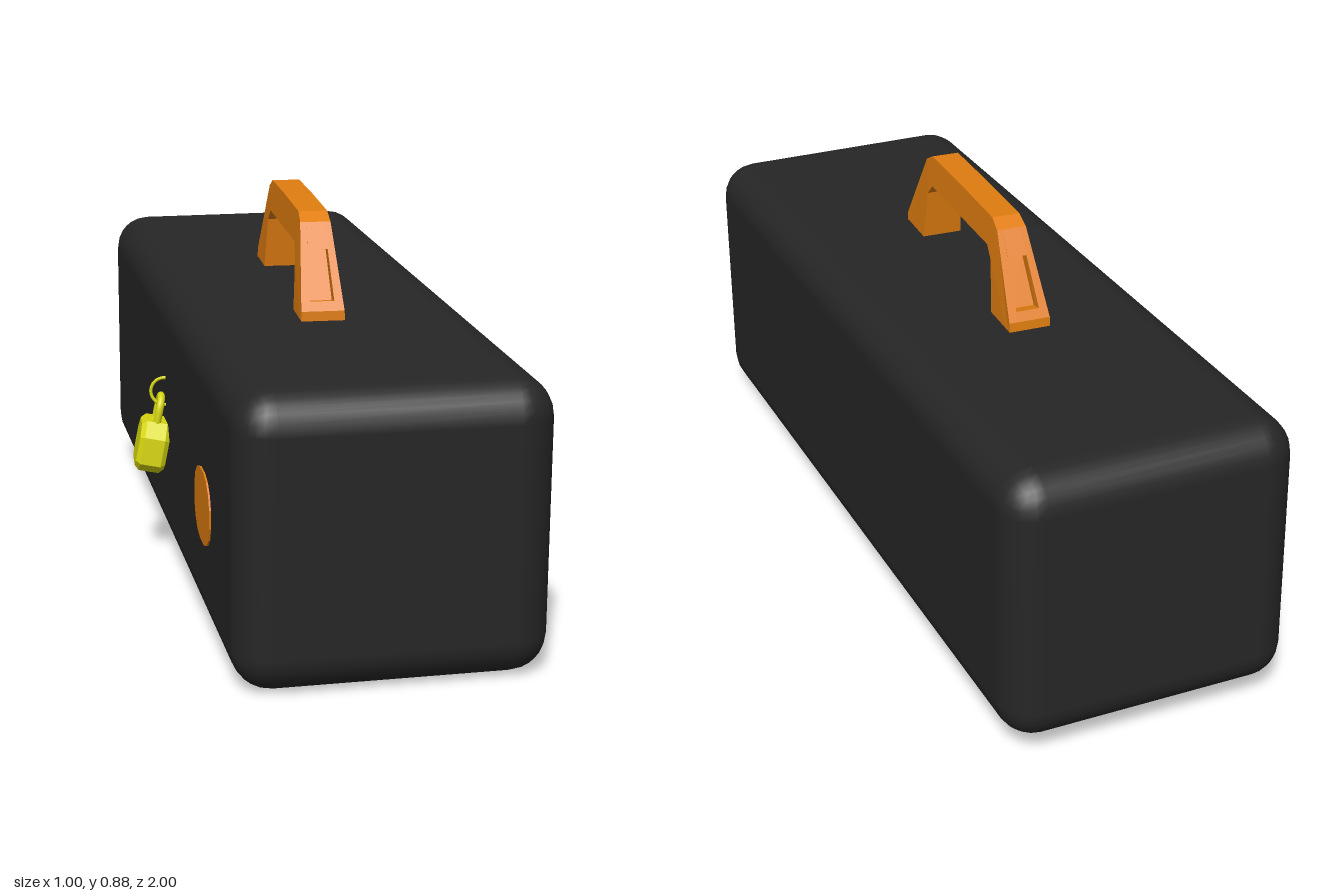
import * as THREE from 'three';
import { RoundedBoxGeometry } from 'three/addons/geometries/RoundedBoxGeometry.js';

const black = new THREE.MeshStandardMaterial({ color: 0x262626 });
const orange = new THREE.MeshStandardMaterial({ color: 0xe07d10, flatShading: true });
const yellow = new THREE.MeshStandardMaterial({ color: 0xd8d80f });
const YAW = 0.192, PITCH = 0.026;

function add(parent, name, geometry, material) {
  const mesh = new THREE.Mesh(geometry, material);
  mesh.name = name;
  parent.add(mesh);
  return mesh;
}

const polygon = (points) => new THREE.Shape(points.map(([x, y]) => new THREE.Vector2(x, y)));

// Mirrors half of an outline across its vertical axis
const mirrored = (half) => [...half, ...half.map(([x, y]) => [-x, y]).reverse()];

// Extrudes a side profile across the handle between a and b, narrowing towards the top
function handleSlab(half, a, b) {
  const g = new THREE.ExtrudeGeometry(polygon(mirrored(half)), { depth: b - a, bevelEnabled: false });
  g.translate(0, 0, a);
  g.rotateY(-Math.PI / 2);
  const p = g.attributes.position;
  for (let i = 0; i < p.count; i++) {
    const y = p.getY(i);
    const taper = y < 0.13 ? 1 - 1.3 * Math.max(y, 0) : 0.831 - 2 * (y - 0.13);
    p.setX(i, p.getX(i) * taper);
  }
  g.computeVertexNormals();
  return g;
}

function createHandle() {
  const handle = new THREE.Group();
  handle.name = 'handle';
  const inner = [[0, 0.147], [0.185, 0.147], [0.212, 0.12], [0.235, -0.03]];
  const foot = [[0.348, -0.03], [0.345, 0.02]];
  const top = [[0.235, 0.2], [0.2, 0.218], [0, 0.22]];
  // Recess cut into the sloping outer face of each leg
  const recess = [[0.333, 0.04], [0.303, 0.035], [0.238, 0.14], [0.27, 0.145]];
  add(handle, 'handleCheekLeft', handleSlab([...inner, ...foot, ...top], 0.029, 0.05), orange);
  add(handle, 'handleCheekRight', handleSlab([...inner, ...foot, ...top], -0.05, -0.029), orange);
  add(handle, 'handleCore', handleSlab([...inner, ...foot, ...recess, ...top], -0.029, 0.029), orange);
  handle.rotation.set(PITCH, 0.145, 0, 'YXZ');
  handle.position.set(-0.01, 0.665, 0.035);
  return handle;
}

function createPadlock() {
  const lock = new THREE.Group();
  lock.name = 'padlock';
  // Body with clipped corners and bevelled faces
  const outline = mirrored([[0.04, -0.05], [0.056, -0.035], [0.056, 0.022], [0.032, 0.05]]);
  const body = new THREE.ExtrudeGeometry(polygon(outline), {
    depth: 0.048, bevelThickness: 0.011, bevelSize: 0.01, bevelSegments: 1,
  });
  body.translate(0, 0, -0.024);
  body.rotateY(Math.PI / 2);
  add(lock, 'padlockBody', body, yellow);
  // Shackle arch
  const arch = [new THREE.Vector3(0, 0.05, -0.03)];
  for (let i = 0; i <= 8; i++) {
    const a = Math.PI * (1 - i / 8);
    arch.push(new THREE.Vector3(0, 0.088 + 0.03 * Math.sin(a), 0.03 * Math.cos(a)));
  }
  arch.push(new THREE.Vector3(0, 0.05, 0.03));
  add(lock, 'padlockShackle',
    new THREE.TubeGeometry(new THREE.CatmullRomCurve3(arch), 28, 0.009, 10), yellow);
  lock.rotation.set(0, 0.1, -0.2, 'YXZ');
  lock.position.set(-0.361, 0.291, 0.075);
  return lock;
}

export function createModel() {
  const model = new THREE.Group();
  model.name = 'toolbox';

  // Case, turned and slightly tipped towards the front
  const box = new THREE.Group();
  box.name = 'case';
  box.rotation.set(PITCH, YAW, 0, 'YXZ');
  box.position.y = 0.345;
  add(box, 'caseBody', new RoundedBoxGeometry(0.67, 0.638, 1.925, 3, 0.085), black);

  // Flat oval patch on the side
  const patch = [];
  for (let i = 0; i < 16; i++) {
    const a = (i + 0.5) / 16 * Math.PI * 2, c = Math.cos(a), s = Math.sin(a);
    patch.push([0.1 * Math.sign(c) * Math.abs(c) ** 0.85, 0.083 * Math.sign(s) * Math.abs(s) ** 0.85]);
  }
  const disc = new THREE.ExtrudeGeometry(polygon(patch), { depth: 0.006, bevelEnabled: false });
  disc.rotateY(-Math.PI / 2);
  add(box, 'sidePatch', disc, orange).position.set(-0.333, -0.03, 0.56);

  model.add(box, createHandle(), createPadlock());

  // Staple ring holding the padlock to the side
  add(model, 'staple', new THREE.TorusGeometry(0.033, 0.004, 8, 28), yellow)
    .position.set(-0.329, 0.418, 0.075);
  return model;
}
